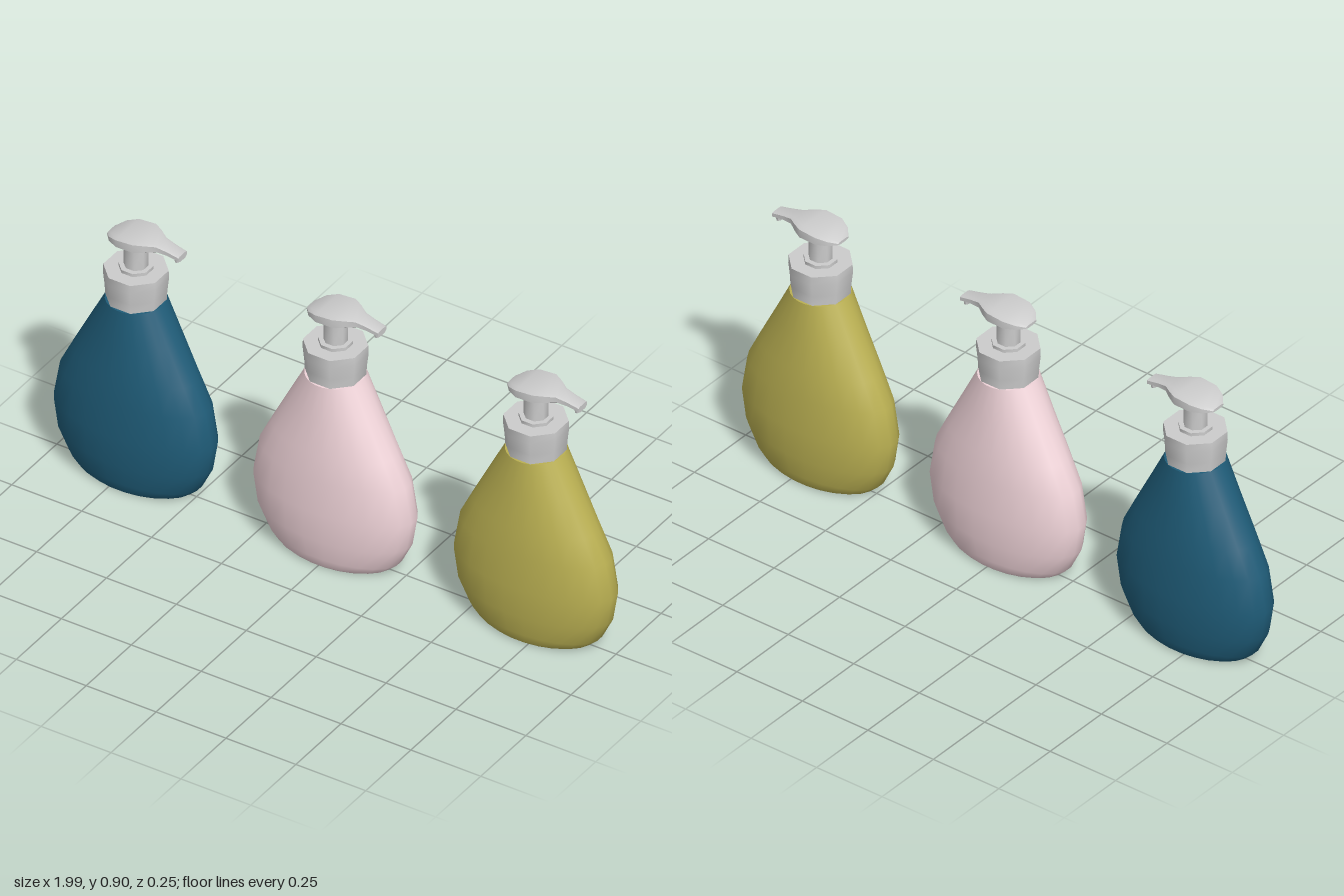
import * as THREE from 'three';
import { toCreasedNormals } from 'three/addons/utils/BufferGeometryUtils.js';

// Skin closed rings of points and cap both ends
function loft(rings, crease) {
  const n = rings[0].length;
  const pos = [], idx = [];
  rings.forEach((r) => r.forEach((p) => pos.push(...p)));
  for (let i = 0; i < rings.length - 1; i++) {
    for (let j = 0; j < n; j++) {
      const a = i * n + j, b = i * n + (j + 1) % n;
      idx.push(a, a + n, b, b, a + n, b + n);
    }
  }
  const last = (rings.length - 1) * n;
  for (let j = 1; j < n - 1; j++) {
    idx.push(0, j, j + 1);
    idx.push(last, last + j + 1, last + j);
  }
  const g = new THREE.BufferGeometry();
  g.setAttribute('position', new THREE.Float32BufferAttribute(pos, 3));
  g.setIndex(idx);
  return toCreasedNormals(g, crease);
}

// Elliptical ring at height y
function ellipse(y, rx, rz, sides) {
  return Array.from({ length: sides }, (_, j) => {
    const a = ((j + 0.5) / sides) * Math.PI * 2;
    return [Math.cos(a) * rx, y, Math.sin(a) * rz];
  });
}

// Stack of ellipses: rows of [height, half width, half depth]
const stack = (rows, sides, crease) =>
  loft(rows.map(([y, rx, rz]) => ellipse(y, rx, rz, sides)), crease);

// Cross-section of the pump head: flat top, softened underside
function headSection([x, top, bottom, w]) {
  const edge = bottom + (top - bottom) * 0.3;
  return [
    [x, bottom, w * 0.6], [x, edge, w], [x, top - 0.003, w], [x, top, w * 0.7],
    [x, top, -w * 0.7], [x, top - 0.003, -w], [x, edge, -w], [x, bottom, -w * 0.6],
  ];
}

export function createModel() {
  const model = new THREE.Group();
  const grey = new THREE.MeshStandardMaterial({ color: 0xcccccc });

  const bodyGeo = stack([
    [0, 0.18, 0.1], [0.008, 0.2, 0.106], [0.035, 0.23, 0.112], [0.11, 0.267, 0.128],
    [0.21, 0.284, 0.128], [0.33, 0.262, 0.128], [0.42, 0.217, 0.12],
    [0.54, 0.155, 0.108], [0.657, 0.094, 0.095],
  ], 24, 0.9);

  const collarGeo = stack([
    [0.655, 0.094, 0.094], [0.69, 0.096, 0.096], [0.735, 0.101, 0.101], [0.764, 0.1, 0.1],
  ], 8, 0.9);

  const washerGeo = stack([[0.76, 0.053, 0.053], [0.775, 0.053, 0.053]], 8, 0.9);
  const stemGeo = stack([[0.77, 0.038, 0.036], [0.87, 0.038, 0.036]], 8, 0.9);

  // Arched head that narrows into the spout: [x, top, bottom, half width]
  const headGeo = loft([
    [-0.087, 0.874, 0.864, 0.025], [-0.065, 0.885, 0.86, 0.05],
    [-0.03, 0.894, 0.855, 0.066], [0.03, 0.899, 0.855, 0.066],
    [0.06, 0.897, 0.859, 0.05], [0.09, 0.893, 0.864, 0.03],
    [0.125, 0.886, 0.863, 0.025], [0.167, 0.877, 0.856, 0.023],
  ].map(headSection), 0.75);

  // Downturned lip under the spout tip
  const lipGeo = stack([[0.849, 0.008, 0.017], [0.868, 0.011, 0.021]], 8, 0.9);
  lipGeo.translate(0.153, 0, 0);

  const bottles = [
    ['blueDispenser', -0.717, 0x1f5c78],
    ['pinkDispenser', -0.003, 0xf0d4d9],
    ['oliveDispenser', 0.714, 0xbab052],
  ];
  for (const [name, x, color] of bottles) {
    const dispenser = new THREE.Group();
    dispenser.name = name;
    dispenser.position.x = x;
    const add = (part, geo, mat) => {
      const mesh = new THREE.Mesh(geo, mat);
      mesh.name = part;
      dispenser.add(mesh);
    };
    add('bottle', bodyGeo, new THREE.MeshStandardMaterial({ color }));
    add('collar', collarGeo, grey);
    add('washer', washerGeo, grey);
    add('pumpStem', stemGeo, grey);
    add('pumpHead', headGeo, grey);
    add('spoutLip', lipGeo, grey);
    model.add(dispenser);
  }
  return model;
}
